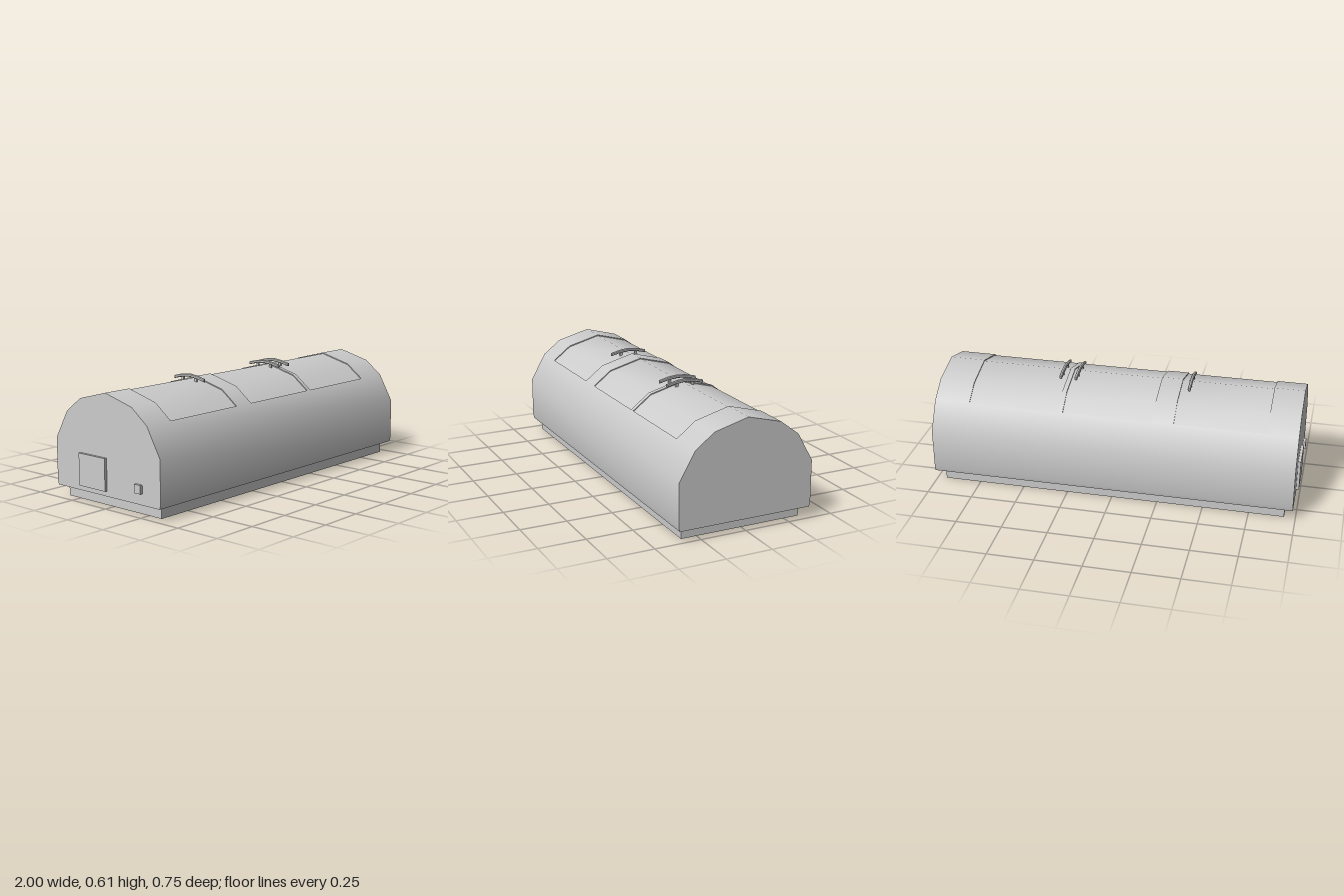
import * as THREE from 'three';
import { toCreasedNormals } from 'three/addons/utils/BufferGeometryUtils.js';

const mat = new THREE.MeshStandardMaterial({ color: 0xcccccc, side: THREE.DoubleSide });
const X0 = -0.985, X1 = 1, FLOOR = 0.062;

// Half section of the shed as [z, y], from the ridge down to the sill
const half = [[0, 0.59], [0.185, 0.541], [0.287, 0.463], [0.373, 0.312], [0.373, 0.085], [0.367, FLOOR]];
const mirror = h => [...h.slice(1).reverse().map(([z, y]) => [-z, y]), ...h];
const profile = mirror(half);
const arch = (drop, w = 0) => mirror(half.slice(0, 3).map(([z, y]) => [z * (1 - w), y - drop]));
const toShape = pts => new THREE.Shape(pts.map(([z, y]) => new THREE.Vector2(-z, y)));

// Sheet swept along x over the profile, smooth across the section
function sheet(pts, spans) {
  const seg = pts.slice(1).map(([z, y], i) => {
    const dz = z - pts[i][0], dy = y - pts[i][1], l = Math.hypot(dz, dy);
    return [-dy / l, dz / l];
  });
  const normal = i => {
    const a = seg[Math.max(i - 1, 0)], b = seg[Math.min(i, seg.length - 1)];
    return new THREE.Vector3(0, a[1] + b[1], a[0] + b[0]).normalize();
  };
  const pos = [], nor = [];
  for (const [i, a, b] of spans) {
    for (const [k, x] of [[i, a], [i + 1, a], [i + 1, b], [i, a], [i + 1, b], [i, b]]) {
      pos.push(x, pts[k][1], pts[k][0]);
      nor.push(...normal(k).toArray());
    }
  }
  const g = new THREE.BufferGeometry();
  g.setAttribute('position', new THREE.Float32BufferAttribute(pos, 3));
  g.setAttribute('normal', new THREE.Float32BufferAttribute(nor, 3));
  return g;
}

// Section extruded along x from a to b
function prism(shape, a, b, options = {}) {
  const g = new THREE.ExtrudeGeometry(shape, { depth: b - a, bevelEnabled: false, ...options });
  g.rotateY(Math.PI / 2).translate(a, 0, 0);
  return toCreasedNormals(g, 0.6);
}

function rectRing(ax, bx, az, inner) {
  const rect = (P, x0, x1, z) => new P([[x0, -z], [x1, -z], [x1, z], [x0, z]].map(p => new THREE.Vector2(...p)));
  const s = rect(THREE.Shape, ax, bx, az);
  s.holes.push(rect(THREE.Path, ...inner));
  return s;
}

export function createModel() {
  const model = new THREE.Group();
  const add = (name, geometry, parent = model) => {
    const m = new THREE.Mesh(geometry, mat);
    m.name = name;
    parent.add(m);
    return m;
  };
  const box = (name, [x0, x1], [y0, y1], [z0, z1], parent) =>
    add(name, new THREE.BoxGeometry(x1 - x0, y1 - y0, z1 - z0), parent)
      .position.set((x0 + x1) / 2, (y0 + y1) / 2, (z0 + z1) / 2);

  // Side walls run full length; the roof is only solid at the bands between bays
  const bands = [[X0, -0.82], [-0.325, -0.21], [0.28, 0.305], [0.805, X1]];
  const spans = [];
  for (let i = 0; i < profile.length - 1; i++) {
    const isRoof = i >= 3 && i <= 6;
    for (const [a, b] of isRoof ? bands : [[X0, X1]]) spans.push([i, a, b]);
  }
  add('shell', sheet(profile, spans));
  for (const [a, b] of bands) {
    const strip = [...arch(0.0005), ...arch(0.008, 0.015).reverse()];
    add('roofBandEdge', prism(toShape(strip), a, b));
  }

  // End walls
  for (const x of [X0, X1]) {
    const g = new THREE.ShapeGeometry(toShape(profile)).rotateY(x > 0 ? Math.PI / 2 : -Math.PI / 2);
    add('endWall', g.translate(x, 0, 0));
  }

  // Inner blocks whose tops form the slightly recessed roof bays
  for (const [a, b] of [[-0.82, -0.325], [-0.21, 0.805]]) {
    const top = arch(0.006, 0.004);
    add('roofBay', prism(toShape([[top[0][0], 0.092], ...top, [top[4][0], 0.092]]), a, b));
  }

  // Sill under the walls and the open plinth below it
  const sill = new THREE.ShapeGeometry(rectRing(X0, X1, 0.367, [-0.94, 0.95, 0.335]));
  add('sill', sill.rotateX(Math.PI / 2).translate(0, FLOOR, 0));
  const plinth = new THREE.ExtrudeGeometry(rectRing(-0.94, 0.95, 0.335, [-0.936, 0.946, 0.331]),
    { depth: FLOOR, bevelEnabled: false });
  add('plinth', plinth.rotateX(-Math.PI / 2));

  // Bowed bars over the ridge, each on two feet
  const barHalf = [[0, 0.606], [0.055, 0.600], [0.103, 0.588]];
  const barTop = mirror(barHalf);
  const bar = toShape([...barTop, ...barTop.map(([z, y]) => [z, y - 0.009]).reverse()]);
  for (const x of [-0.375, 0.25, 0.335]) {
    const group = new THREE.Group();
    group.name = 'ridgeBar';
    model.add(group);
    add('bar', prism(bar, x - 0.004, x + 0.004,
      { bevelEnabled: true, bevelThickness: 0.004, bevelSize: 0.004, bevelSegments: 1 }), group);
    for (const z of [-0.046, 0.046])
      box('barFoot', [x - 0.005, x + 0.005], [0.568, 0.595], [z - 0.007, z + 0.007], group);
  }

  // Door and small wall box on the right end
  box('door', [-1, -0.975], [0.09, 0.26], [-0.19, 0]);
  box('wallBox', [-1, -0.975], [0.12, 0.165], [0.208, 0.25]);
  return model;
}
